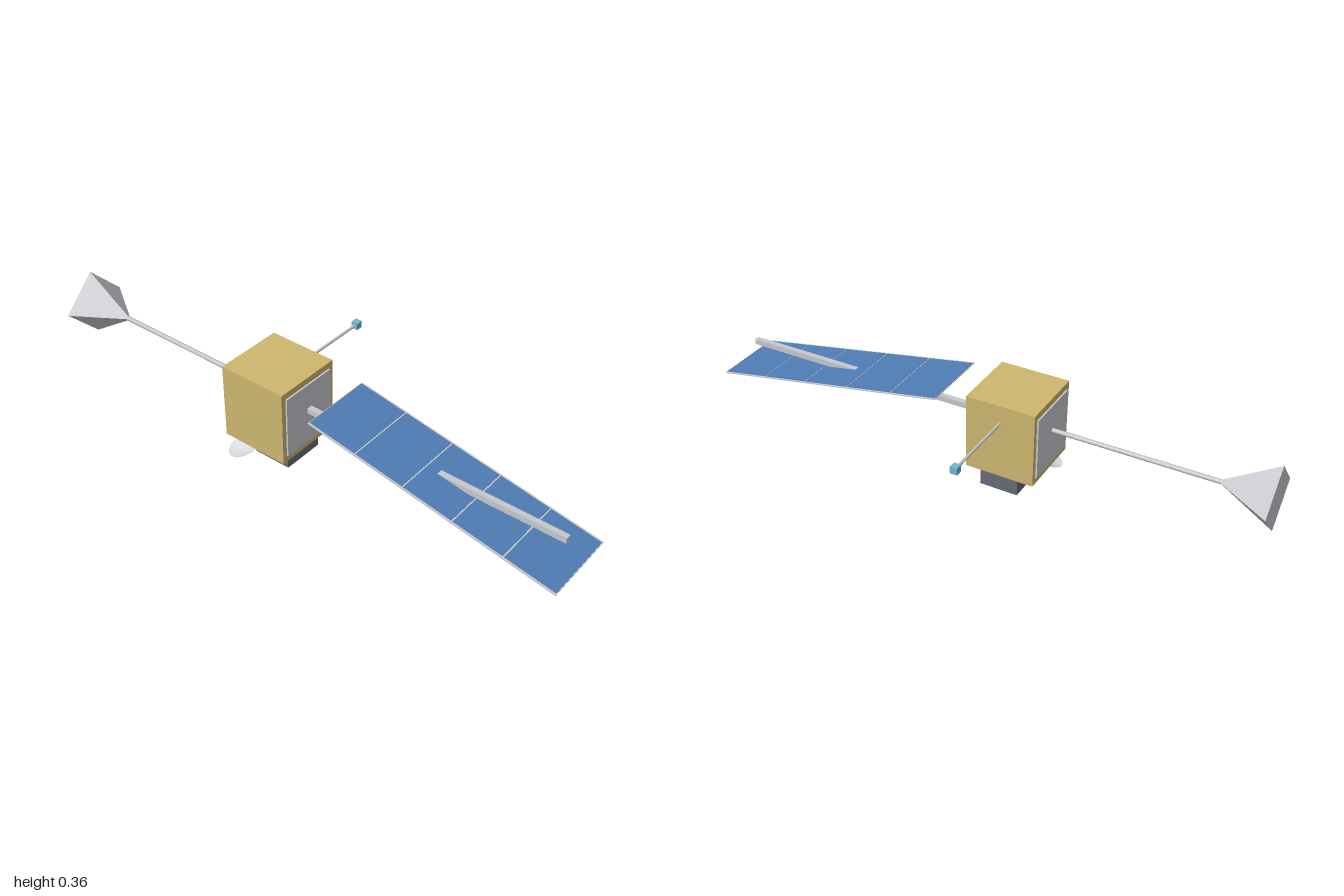
import * as THREE from 'three';

export function createModel() {
  const model = new THREE.Group();
  model.name = 'satellite';

  const material = (name, color, side = THREE.FrontSide) => {
    const m = new THREE.MeshStandardMaterial({ color, side });
    m.name = name;
    return m;
  };
  const gold = material('gold foil', 0xcdb66f);
  const silver = material('silver', 0xc6c8cd);
  const blue = material('solar blue', 0x4f7db5);
  const slate = material('slate', 0x666b76);
  const lensBlue = material('lens blue', 0x35506b);
  const cyan = material('sensor cyan', 0x6cb8d0);
  const white = material('dish white', 0xdadde2, THREE.DoubleSide);

  const add = (name, geometry, mat, x, y, z, parent = model) => {
    const mesh = new THREE.Mesh(geometry, mat);
    mesh.name = name;
    mesh.position.set(x, y, z);
    parent.add(mesh);
    return mesh;
  };
  const box = (name, w, h, d, mat, x, y, z, parent) =>
    add(name, new THREE.BoxGeometry(w, h, d), mat, x, y, z, parent);

  // Main body with a cover plate front and back
  const cx = -0.134;
  box('body', 0.248, 0.271, 0.248, gold, cx, 0.2245, -0.12);
  box('frontPlate', 0.213, 0.224, 0.012, silver, cx, 0.225, 0.004);
  box('backPlate', 0.213, 0.224, 0.012, silver, cx, 0.225, -0.244);

  // Instrument box and downward lens
  box('instrumentBox', 0.153, 0.082, 0.139, slate, -0.1155, 0.05, -0.105);
  add('lens', new THREE.CylinderGeometry(0.05, 0.05, 0.014, 24), lensBlue, -0.1155, 0.007, -0.106);

  // Square boom carrying the solar panel
  box('panelBoom', 0.02, 0.02, 0.95, silver, -0.133, 0.238, 0.475);

  // Tilted solar panel: frame with five cells showing on both faces
  const panel = new THREE.Group();
  panel.name = 'solarPanel';
  panel.position.set(cx, 0.2365, 0.558);
  panel.rotation.x = Math.atan2(0.161, 0.884);
  model.add(panel);
  const length = 0.898, pitch = length / 5;
  box('panelFrame', 0.269, 0.003, length, silver, 0, 0, 0, panel);
  for (let i = 0; i < 5; i++) {
    box('solarCell', 0.255, 0.006, pitch - 0.005, blue, 0, 0, (i - 2) * pitch, panel);
  }

  // Rear mast with a four-sided pyramid at its end
  const mast = add('rearMast', new THREE.CylinderGeometry(0.008, 0.008, 0.6, 8), silver, cx, 0.24, -0.54);
  mast.rotation.x = Math.PI / 2;
  const pyramid = add('rearPyramid',
    new THREE.ConeGeometry(0.123, 0.19, 4).toNonIndexed(), silver, cx, 0.24, -0.905);
  pyramid.geometry.computeVertexNormals();
  pyramid.rotation.x = Math.PI / 2;

  // Side antenna with a small sensor cube
  const rod = add('sideRod', new THREE.CylinderGeometry(0.005, 0.005, 0.29, 8), silver, 0.125, 0.2965, -0.121);
  rod.rotation.z = Math.PI / 2;
  box('sensorCube', 0.025, 0.025, 0.025, cyan, 0.2755, 0.2965, -0.121);

  // Shallow dish, tilted outward and back
  const profile = [];
  for (let i = 0; i <= 6; i++) {
    const r = (0.062 * i) / 6;
    profile.push(new THREE.Vector2(r, 0.012 * ((r / 0.062) ** 2 - 1)));
  }
  const dish = add('dish', new THREE.LatheGeometry(profile, 24), white, -0.23, 0.055, -0.188);
  dish.quaternion.setFromUnitVectors(
    new THREE.Vector3(0, 1, 0), new THREE.Vector3(-0.25, 0.91, -0.32).normalize());

  return model;
}
